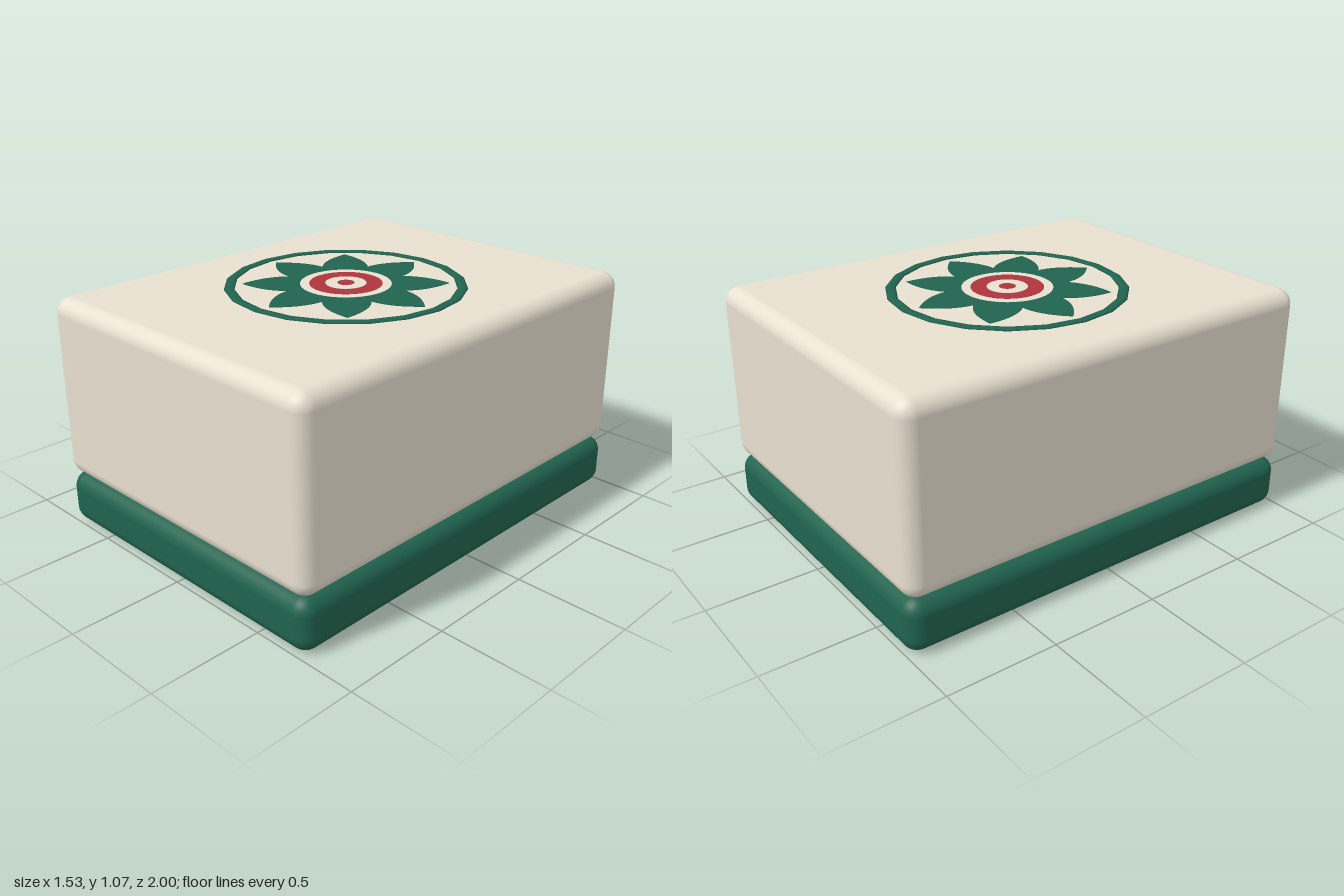
import * as THREE from 'three';
import { RoundedBoxGeometry } from 'three/addons/geometries/RoundedBoxGeometry.js';

const WIDTH = 1.53, DEPTH = 2, BASE_H = 0.24, TOP = 1.06;

const material = (color) => new THREE.MeshStandardMaterial({ color });
const ivory = material(0xe8e0d0);
const green = material(0x20634e);
const red = material(0xb0353c);

export function createModel() {
  const group = new THREE.Group();

  const add = (name, geometry, mat, y) => {
    const mesh = new THREE.Mesh(geometry, mat);
    mesh.name = name;
    mesh.position.y = y;
    group.add(mesh);
    return mesh;
  };

  // Two stacked rounded slabs
  const slab = (name, bottom, top, mat) =>
    add(name, new RoundedBoxGeometry(WIDTH, top - bottom, DEPTH, 4, 0.07), mat, (bottom + top) / 2);
  slab('base', 0, BASE_H, green);
  slab('body', BASE_H, TOP, ivory);

  // Twenty-sided ring, flattened and half sunk into the top face
  const ring = new THREE.TorusGeometry(0.507, 0.023, 8, 20);
  ring.rotateX(-Math.PI / 2).scale(1, 0.3, 1);
  add('outerRing', ring, green, TOP);

  // Eight pointed petals that meet in the valleys between them
  const flower = new THREE.Group();
  flower.name = 'flower';
  flower.position.y = TOP - 0.004;
  const petal = new THREE.Shape();
  petal.moveTo(0, 0);
  petal.lineTo(0.103, 0.249);
  petal.quadraticCurveTo(0.1, 0.355, 0, 0.45);
  petal.quadraticCurveTo(-0.1, 0.355, -0.103, 0.249);
  petal.closePath();
  const petalGeometry = new THREE.ExtrudeGeometry(petal, { depth: 0.006, bevelEnabled: false, curveSegments: 10 });
  petalGeometry.rotateX(-Math.PI / 2);
  for (let i = 0; i < 8; i++) {
    const mesh = new THREE.Mesh(petalGeometry, green);
    mesh.name = 'petal';
    mesh.rotation.y = (i * Math.PI) / 4;
    flower.add(mesh);
  }
  group.add(flower);

  // Concentric discs in the centre, each a little higher than the last
  [[0.2, ivory], [0.16, red], [0.09, ivory], [0.037, red]].forEach(([radius, mat], i) => {
    const height = 0.006 + i * 0.001;
    add('centreDisc' + (i + 1), new THREE.CylinderGeometry(radius, radius, height, 40), mat, TOP - 0.003 + height / 2);
  });

  return group;
}
